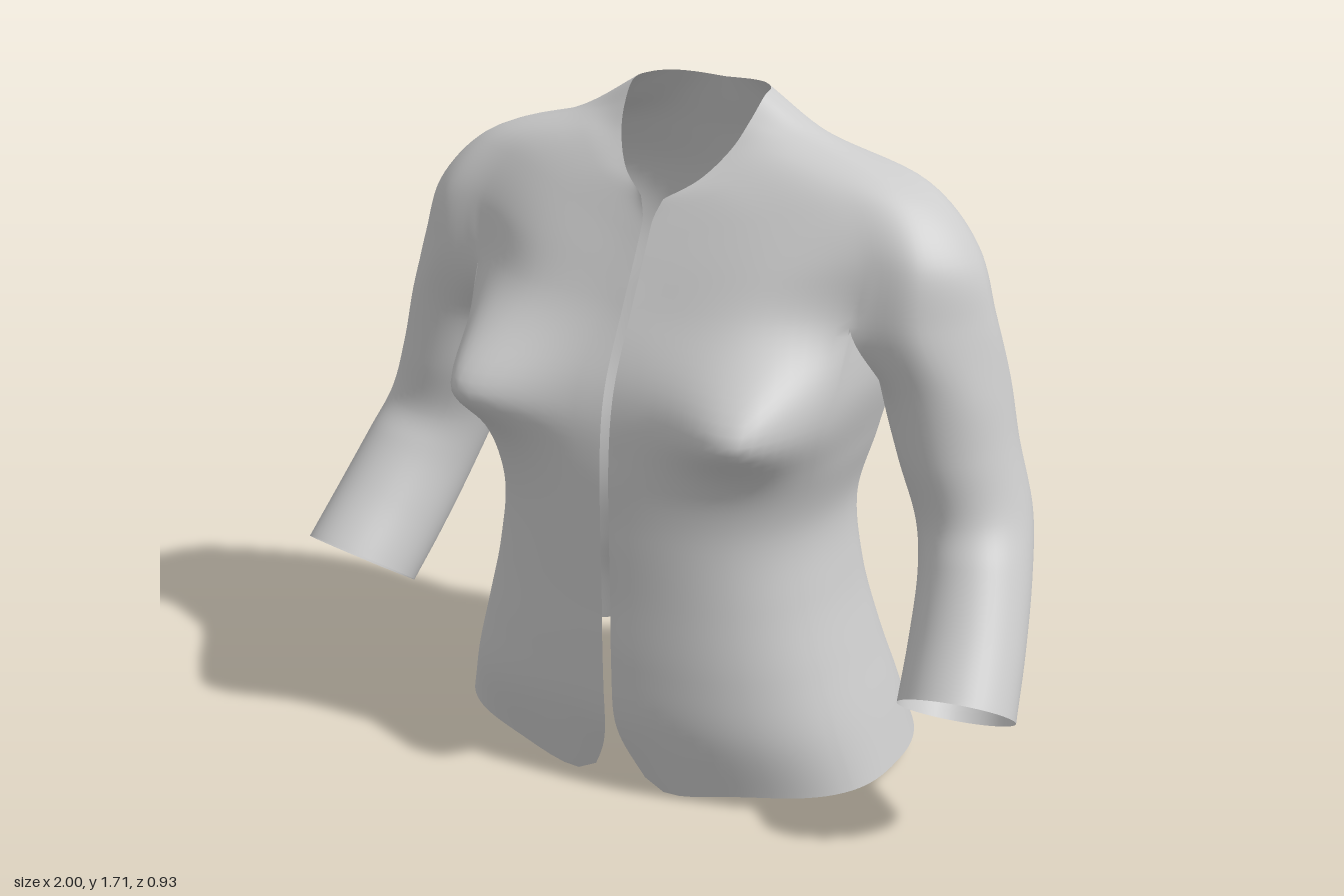
import * as THREE from 'three';
import { mergeVertices } from 'three/addons/utils/BufferGeometryUtils.js';

const N = 8; // samples per control interval, around and along
const V = (p) => new THREE.Vector3(...p);

// Smooth curve through control points, sampled N times per interval
const smooth = (pts) => new THREE.CatmullRomCurve3(pts).getPoints((pts.length - 1) * N);

// Shoulder yoke, neck edge down to armpit: front opening -> armhole -> centre back
const YOKE = [
  [[0.03, 1.49, 0.175], [0.1, 1.535, 0.125], [0.15, 1.6, 0.06], [0.17, 1.655, 0.01], [0.178, 1.705, -0.05],
    [0.165, 1.71, -0.11], [0.13, 1.71, -0.15], [0.08, 1.705, -0.18], [0, 1.7, -0.19]],
  [[0.014, 1.445, 0.195], [0.18, 1.525, 0.125], [0.27, 1.59, 0.05], [0.32, 1.612, -0.02], [0.34, 1.613, -0.07],
    [0.32, 1.613, -0.12], [0.27, 1.615, -0.165], [0.15, 1.63, -0.22], [0, 1.63, -0.22]],
  [[0.012, 1.4, 0.217], [0.27, 1.47, 0.15], [0.44, 1.52, 0.08], [0.56, 1.525, 0.02], [0.615, 1.515, -0.06],
    [0.57, 1.525, -0.145], [0.44, 1.53, -0.21], [0.23, 1.53, -0.275], [0, 1.53, -0.265]],
  [[0.012, 1.33, 0.253], [0.29, 1.37, 0.205], [0.51, 1.4, 0.125], [0.65, 1.4, 0.09], [0.735, 1.39, -0.045],
    [0.66, 1.4, -0.185], [0.53, 1.4, -0.25], [0.25, 1.4, -0.335], [0, 1.4, -0.3]],
  [[0.012, 1.25, 0.295], [0.28, 1.25, 0.26], [0.51, 1.25, 0.15], [0.67, 1.25, 0.12], [0.785, 1.25, -0.04],
    [0.69, 1.25, -0.19], [0.54, 1.25, -0.22], [0.25, 1.25, -0.355], [0, 1.25, -0.32]],
];
// Underarm seam shared by trunk and sleeve
const UNDERARM = [[0.51, 1.25, 0.15], [0.525, 1.25, 0.06], [0.53, 1.25, -0.03], [0.535, 1.25, -0.13], [0.54, 1.25, -0.22]];
// Trunk levels: height, half width, front z, back z, depth of the spine hollow
const TRUNK = [
  [1.08, 0.532, 0.375, -0.355, 0.03], [0.9, 0.487, 0.408, -0.32, 0.025], [0.72, 0.44, 0.412, -0.28, 0.02],
  [0.54, 0.463, 0.41, -0.265, 0.015], [0.36, 0.51, 0.41, -0.32, 0.015], [0.2, 0.557, 0.4, -0.4, 0.02],
  [0.04, 0.6, 0.352, -0.475, 0.055],
];
const TRUNK_ANGLES = [0, 0.2, 0.37, 0.43, 0.5, 0.57, 0.64, 0.84, 1];
// Sleeve sections: centre x y z, side radius, front radius, forward tilt, side tilt
const SLEEVE = [
  [0.672, 1.08, -0.045, 0.15, 0.165, 0, 0.1], [0.715, 0.92, -0.04, 0.142, 0.16, 0, 0.18],
  [0.765, 0.76, -0.035, 0.138, 0.16, 0.15, 0.2], [0.8, 0.64, 0.03, 0.138, 0.155, 0.45, 0.18],
  [0.832, 0.5, 0.14, 0.142, 0.15, 0.64, 0.15], [0.857, 0.38, 0.25, 0.144, 0.15, 0.64, 0.13],
];

// Superellipse, squarer in front and rounder behind, with a hollow along the spine
function trunkRing([y, w, zf, zb, hollow]) {
  const zm = -0.03, pts = [];
  for (let k = 0; k <= 8 * N; k++) {
    const j = Math.min(7, Math.floor(k / N));
    const a = Math.PI * THREE.MathUtils.lerp(TRUNK_ANGLES[j], TRUNK_ANGLES[j + 1], k / N - j);
    const s = Math.max(0, Math.sin(a)), c = Math.cos(a);
    if (c > 0) {
      pts.push(V([0.012 + (w - 0.012) * s ** 0.8, y, zm + (zf - zm) * c ** 0.7]));
    } else {
      const x = k === 8 * N ? 0 : w * s;
      pts.push(V([x, y, zm + (zb - zm) * (-c) ** 0.9 + hollow * Math.exp(-((x / 0.09) ** 1.5))]));
    }
  }
  return pts;
}

function sleeveRing([cx, cy, cz, ru, rv, p, q]) {
  const open = THREE.MathUtils.degToRad(125), pts = [];
  for (let k = 0; k <= 8 * N; k++) {
    const a = k <= 4 * N
      ? open * (1 - k / (2 * N))
      : -open - (2 * Math.PI - 2 * open) * (k / (4 * N) - 1);
    const u = ru * Math.cos(a), v = rv * Math.sin(a);
    pts.push(V([cx + u * Math.cos(q), cy + u * Math.sin(q) + v * Math.sin(p), cz + v * Math.cos(p)]));
  }
  return pts;
}

// Triangles between rings first..last; rings beyond them only steer the tangents
function loft(rings, first, last) {
  const cols = rings[0].map((_, j) => smooth(rings.map((r) => r[j])).slice(first * N, last * N + 1));
  const out = [];
  for (let j = 0; j < cols.length - 1; j++) {
    for (let i = 0; i < cols[j].length - 1; i++) {
      const a = cols[j][i], b = cols[j][i + 1], c = cols[j + 1][i], d = cols[j + 1][i + 1];
      out.push(a, b, c, c, b, d);
    }
  }
  return out;
}

// Bust, opening that flares at the hem, and rounded front hem corners
function shape(p) {
  let { x, y, z } = p;
  const front = THREE.MathUtils.smoothstep(z, 0, 0.18);
  const dx = (x - 0.37) * (x < 0.37 ? 0.75 : 1.1), dy = (y - 1.03) * (y < 1.03 ? 1.25 : 0.9);
  const bust = 0.15 * front * Math.exp(-((Math.hypot(dx, dy) / 0.135) ** 1.7));
  if (y < 0.3 && x < 0.62) {
    const flare = 0.065 * Math.max(0, (0.26 - y) / 0.22) ** 2.5;
    x += front * flare * Math.exp(-x / 0.15);
    const low = 1 - THREE.MathUtils.smoothstep(y, 0.04, 0.2);
    y -= 0.04 * front * low * Math.exp(-(((x - 0.135) / (x < 0.135 ? 0.055 : 0.15)) ** 2));
  }
  return V([x + 0.1 * bust, y, z + bust]);
}

export function createModel() {
  const yoke = YOKE.map((row) => smooth(row.map(V)));
  const seam = smooth(UNDERARM.map(V));
  const trunk = TRUNK.map(trunkRing);
  const sleeve = SLEEVE.map(sleeveRing);
  const armpit = yoke[4];
  const inArm = (j) => j > 2 * N && j < 6 * N;

  // The armpit ring splits into a trunk ring and a sleeve ring
  const trunkTop = armpit.map((p, j) => (inArm(j) ? seam[j - 2 * N] : p));
  const sleeveTop = [...armpit.slice(2 * N, 6 * N + 1), ...seam.slice(0, -1).reverse()];
  const aboveTrunk = trunkTop.map((p, j) => (inArm(j) ? p : yoke[3][j]));
  const aboveSleeve = sleeveTop.map((p, k) => (k <= 4 * N ? yoke[3][k + 2 * N] : p));
  const belowYoke = armpit.map((_, j) => (inArm(j) ? sleeve[0][j - 2 * N] : trunk[0][j]));

  const body = [
    ...loft([...yoke, belowYoke], 0, 4),
    ...loft([aboveTrunk, trunkTop, ...trunk], 1, TRUNK.length + 1),
  ].map(shape);
  const arm = loft([aboveSleeve, sleeveTop, ...sleeve], 1, SLEEVE.length + 1).map(shape);

  // Mirror by flipping x and the winding
  const mirror = (tri) => tri.map((p) => V([-p.x, p.y, p.z])).reverse();
  const parts = { jacketBody: [...body, ...mirror(body)], leftSleeve: arm, rightSleeve: mirror(arm) };

  // Weld everything once so shading runs smoothly over the sleeve seams
  const whole = mergeVertices(new THREE.BufferGeometry().setFromPoints(Object.values(parts).flat()), 1e-4);
  whole.computeVertexNormals();
  const index = Array.from(whole.index.array);

  const material = new THREE.MeshStandardMaterial({ color: 0xcccccc, side: THREE.DoubleSide });
  const group = new THREE.Group();
  group.name = 'jacket';
  let start = 0;
  for (const [name, tri] of Object.entries(parts)) {
    const part = whole.clone();
    part.setIndex(index.slice(start, start + tri.length));
    start += tri.length;
    const mesh = new THREE.Mesh(part.toNonIndexed(), material);
    mesh.name = name;
    group.add(mesh);
  }
  return group;
}
